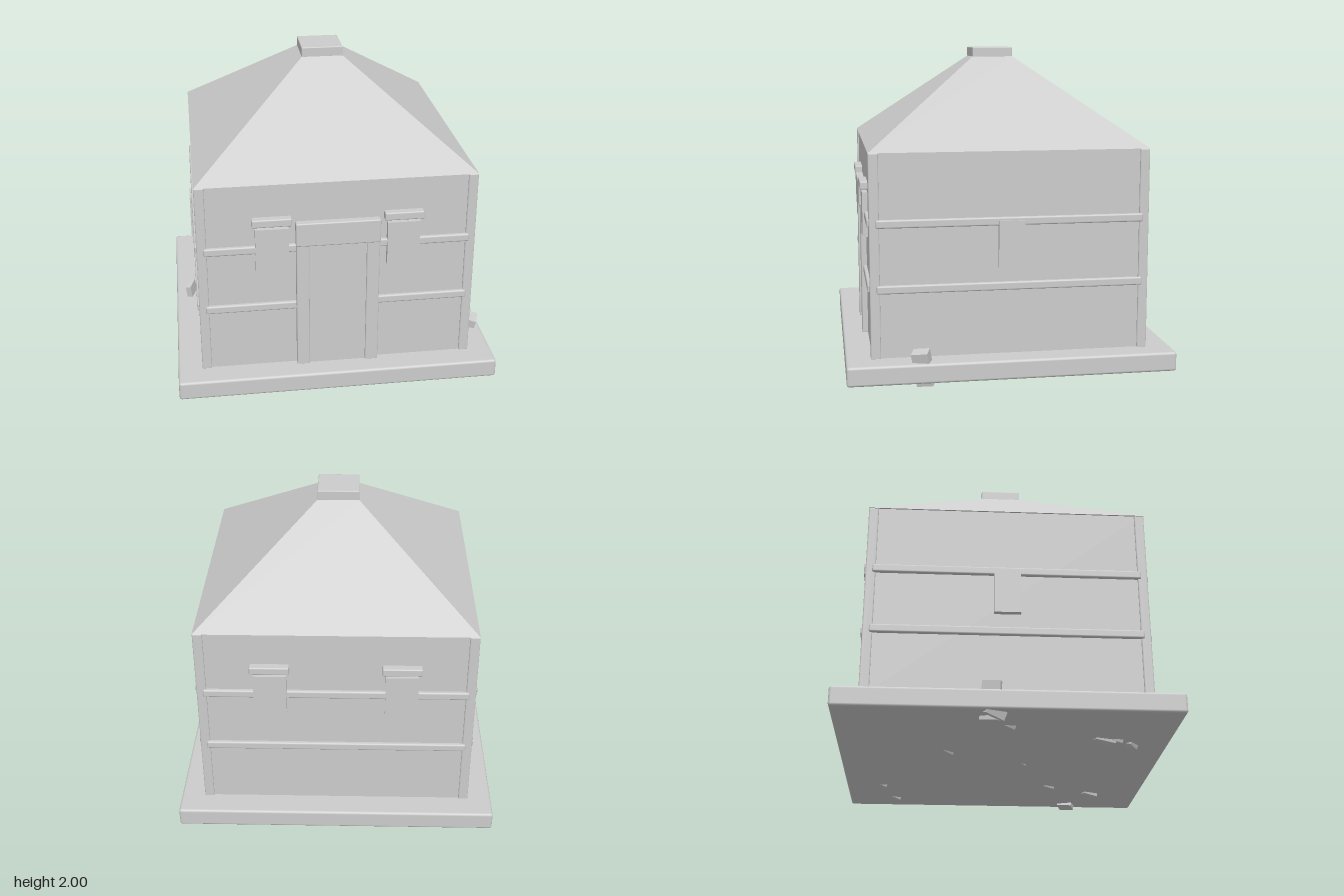
import * as THREE from 'three';
import { RoundedBoxGeometry } from 'three/addons/geometries/RoundedBoxGeometry.js';

export function createModel() {
  const model = new THREE.Group();
  const stone = new THREE.MeshStandardMaterial({ color: 0xcccccc });
  stone.name = 'pale stone';

  const add = (name, geometry, parent = model) => {
    const mesh = new THREE.Mesh(geometry, stone);
    mesh.name = name;
    parent.add(mesh);
    return mesh;
  };
  // Box given by its limits on each axis; a radius rounds the edges
  const block = (name, [x0, x1], [y0, y1], [z0, z1], radius = 0, parent = model) => {
    const size = [x1 - x0, y1 - y0, z1 - z0];
    const geometry = radius ? new RoundedBoxGeometry(...size, 2, radius) : new THREE.BoxGeometry(...size);
    const mesh = add(name, geometry, parent);
    mesh.position.set((x0 + x1) / 2, (y0 + y1) / 2, (z0 + z1) / 2);
    return mesh;
  };

  // Base slab and main walls
  block('baseSlab', [-1, 1], [0.045, 0.165], [-1, 1], 0.016);
  block('walls', [-0.84, 0.84], [0.16, 1.4], [-0.84, 0.84]);

  // Corner posts
  for (const x of [-0.82, 0.82]) {
    for (const z of [-0.82, 0.82]) {
      block('cornerPost', [x - 0.03, x + 0.03], [0.16, 1.4], [z - 0.03, z + 0.03], 0.008);
    }
  }

  // Hipped roof: a four-sided frustum turned square to the walls
  const roofGeometry = new THREE.CylinderGeometry(0.13 * Math.SQRT2, 0.85 * Math.SQRT2, 0.54, 4)
    .rotateY(Math.PI / 4).toNonIndexed();
  roofGeometry.computeVertexNormals();
  add('roof', roofGeometry).position.y = 1.67;
  block('roofCap', [-0.13, 0.13], [1.935, 2], [-0.13, 0.13], 0.006);

  // Details for each wall, built facing +z and turned into place
  for (let i = 0; i < 4; i++) {
    const side = new THREE.Group();
    side.name = ['frontWall', 'leftWall', 'backWall', 'rightWall'][i];
    side.rotation.y = i * Math.PI / 2;
    model.add(side);

    for (const y of [0.56, 0.955]) {
      block('wallBand', [-0.81, 0.81], [y, y + 0.05], [0.82, 0.862], 0.01, side);
    }
    if (i % 2) {
      block('sideWindow', [-0.08, 0.08], [0.7, 0.985], [0.83, 0.874], 0, side);
    } else {
      for (const x of [-0.4, 0.4]) {
        block('window', [x - 0.1, x + 0.1], [0.84, 1.12], [0.83, 0.873], 0, side);
        block('windowHood', [x - 0.12, x + 0.12], [1.14, 1.19], [0.82, 0.887], 0.008, side);
      }
    }
  }

  // Doorway
  block('door', [-0.18, 0.18], [0.16, 1.0], [0.83, 0.864]);
  for (const x of [-0.215, 0.215]) {
    block('doorJamb', [x - 0.04, x + 0.04], [0.16, 1.01], [0.82, 0.876], 0.008);
  }
  block('doorLintel', [-0.257, 0.257], [0.998, 1.15], [0.82, 0.885], 0.008);

  // Tilted rubble, mostly sunk in the slab: position, size, rotation
  const rubble = [
    [[0.93, 0.125, 0.545], [0.075, 0.215, 0.1], [0.12, -0.35, -0.18]],
    [[-0.89, 0.135, -0.1], [0.035, 0.23, 0.11], [0.1, -0.3, 0.12]],
    [[0.81, 0.08, -0.68], [0.07, 0.07, 0.07], [0.3, 0.5, 0.2]],
    [[0.51, 0.08, -0.75], [0.06, 0.07, 0.06], [0.4, 0.2, 0.3]],
    [[-0.22, 0.08, -0.34], [0.08, 0.06, 0.08], [0.2, 0.7, 0.3]],
    [[-0.7, 0.08, 0.02], [0.09, 0.06, 0.07], [0.3, 0.3, 0.4]],
    [[-0.94, 0.045, -0.08], [0.06, 0.05, 0.12], [0.3, 0.4, 0.2]],
    [[-0.47, 0.07, 0.59], [0.14, 0.06, 0.13], [0.1, 0.3, 0.12]],
    [[-0.42, 0.07, 0.76], [0.1, 0.06, 0.08], [0.3, 0.9, 0.1]],
    [[-0.5, 0.07, 0.68], [0.07, 0.06, 0.06], [0.2, 0.2, 0.3]],
    [[0, 0.08, 0.14], [0.06, 0.06, 0.06], [0.2, 0.6, 0.2]],
    [[0.49, 0.08, 0.36], [0.08, 0.07, 0.07], [0.1, 0.5, 0.3]],
    [[0.66, 0.07, 0.65], [0.13, 0.06, 0.1], [0.12, 0.4, 0.12]],
  ];
  for (const [position, size, rotation] of rubble) {
    const stoneChip = add('rubble', new THREE.BoxGeometry(...size));
    stoneChip.position.set(...position);
    stoneChip.rotation.set(...rotation);
  }
  return model;
}
